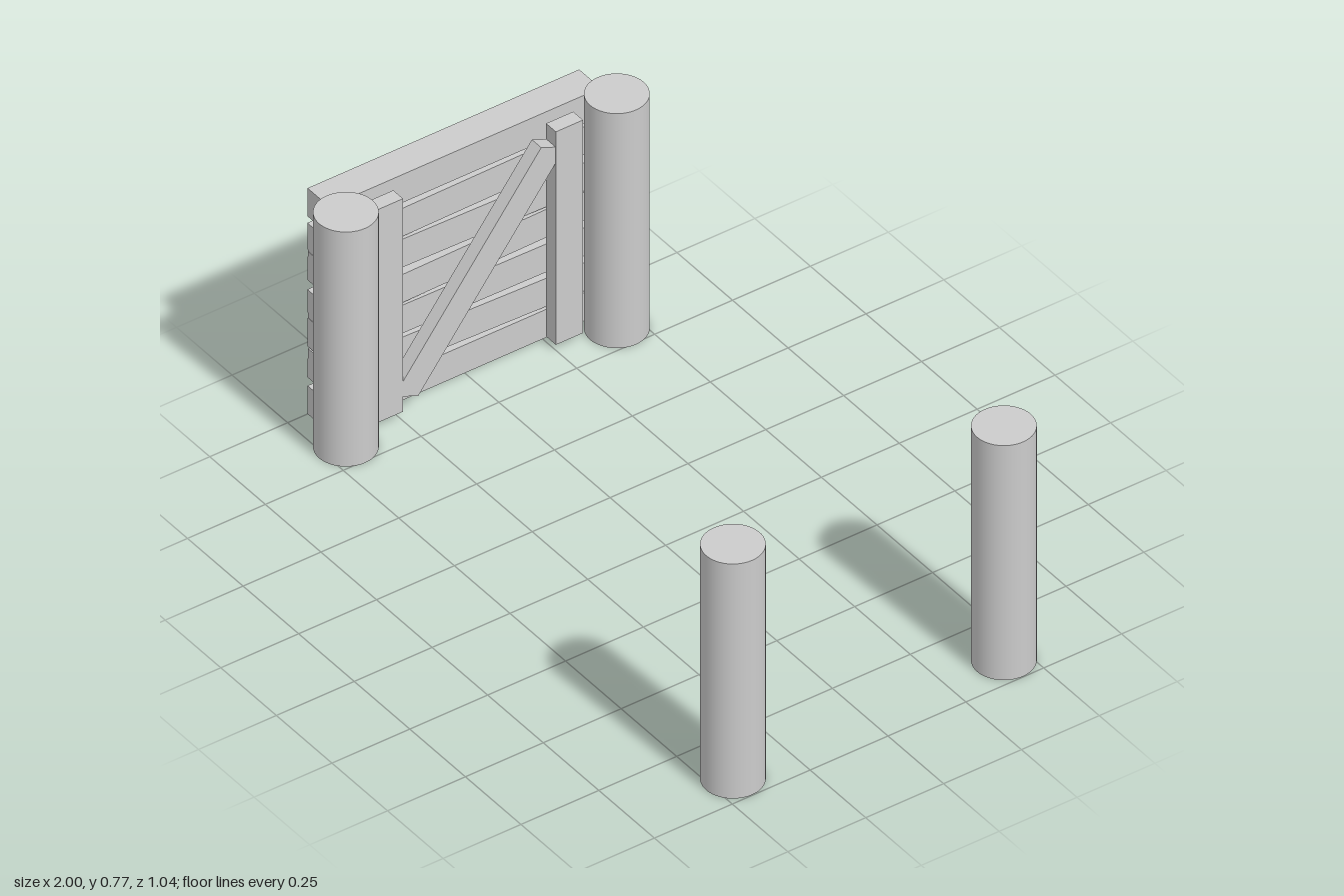
import * as THREE from 'three';

export function createModel() {
  const model = new THREE.Group();
  const material = new THREE.MeshStandardMaterial({ color: 0xcccccc });

  function add(name, geometry, x, y, z, parent = model) {
    const mesh = new THREE.Mesh(geometry, material);
    mesh.name = name;
    mesh.position.set(x, y, z);
    parent.add(mesh);
    return mesh;
  }

  // Four round posts: two carry the gate, two stand free
  const postHeight = 0.775;
  const postGeometry = new THREE.CylinderGeometry(0.086, 0.086, postHeight, 48);
  for (const z of [-0.435, 0.435]) {
    add('gatePost', postGeometry, -0.829, postHeight / 2, z);
    add('freePost', postGeometry, 0.912, postHeight / 2, z);
  }

  const gate = new THREE.Group();
  gate.name = 'gate';
  model.add(gate);

  // Horizontal planks: [centre height, rise from back to front over 0.7 units]
  const planks = [
    [0.047, 0], [0.157, 0.02], [0.266, 0.008], [0.373, -0.012],
    [0.483, 0.012], [0.591, -0.009], [0.7, 0],
  ];
  const plankGeometry = new THREE.BoxGeometry(0.097, 0.093, 0.872);
  for (const [y, rise] of planks) {
    const plank = add('plank', plankGeometry, -0.9515, y, 0, gate);
    plank.rotation.x = -Math.atan(rise / 0.7);
  }

  // Upright battens
  const battenGeometry = new THREE.BoxGeometry(0.044, 0.704, 0.087);
  for (const z of [-0.29, 0.288]) add('batten', battenGeometry, -0.861, 0.375, z, gate);

  // Diagonal brace with slanted ends, drawn in (-z, y) and turned into the gate plane
  const outline = [[-0.2725, 0.0845], [-0.195, 0.052], [0.2775, 0.663], [0.2, 0.695]];
  const shape = new THREE.Shape(outline.map(([u, v]) => new THREE.Vector2(u, v)));
  const braceGeometry = new THREE.ExtrudeGeometry(shape, { depth: 0.042, bevelEnabled: false });
  braceGeometry.rotateY(Math.PI / 2);
  add('diagonalBrace', braceGeometry, -0.882, 0, 0, gate);

  return model;
}
